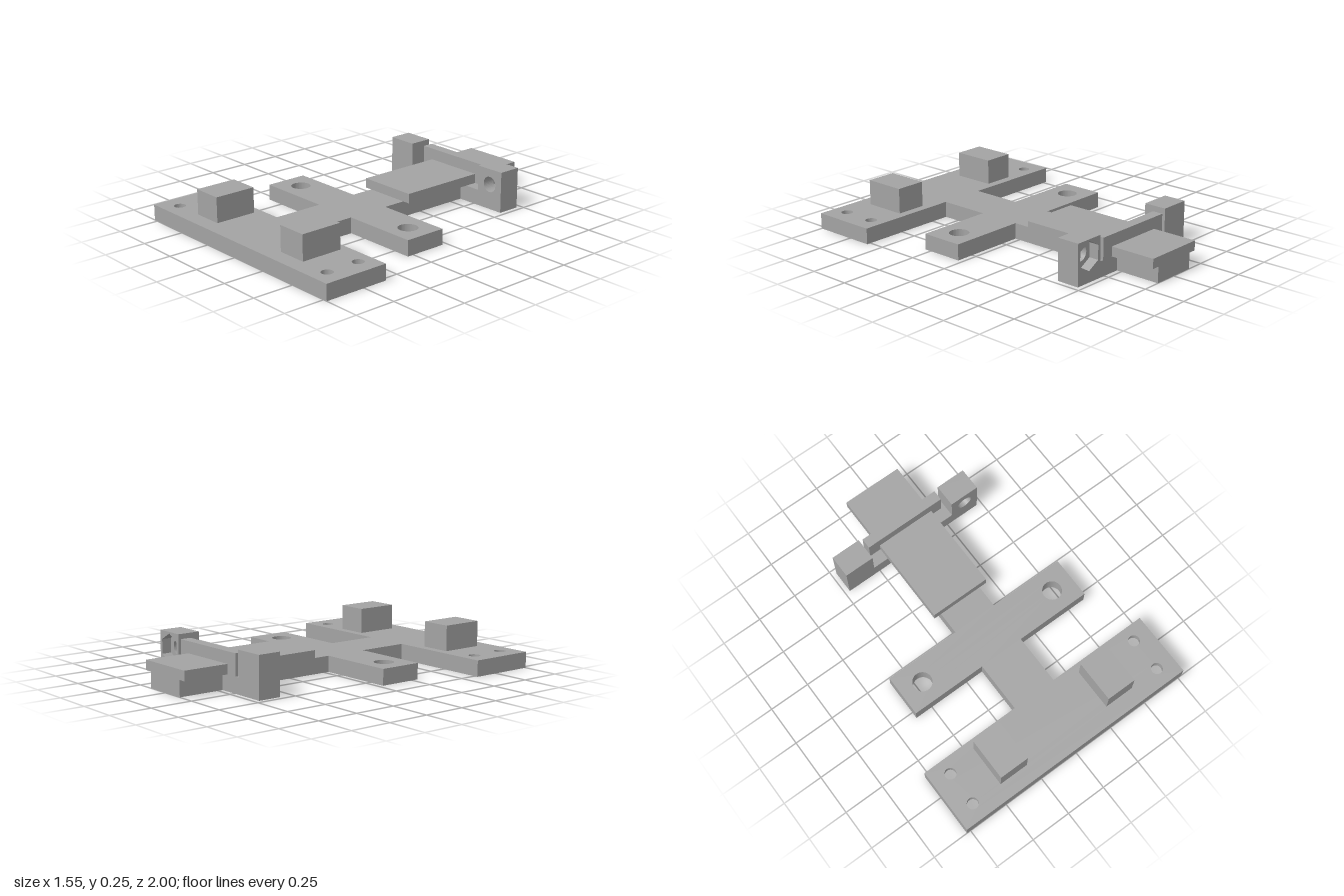
import * as THREE from 'three';

export function createModel() {
  const model = new THREE.Group();
  const grey = new THREE.MeshStandardMaterial({ color: 0xa3a3a3 });
  grey.name = 'plain grey';

  const add = (name, geometry) => {
    const mesh = new THREE.Mesh(geometry, grey);
    mesh.name = name;
    model.add(mesh);
  };

  // box given by its extents on each axis
  const box = (name, x0, x1, y0, y1, z0, z1) => {
    const g = new THREE.BoxGeometry(x1 - x0, y1 - y0, z1 - z0);
    g.translate((x0 + x1) / 2, (y0 + y1) / 2, (z0 + z1) / 2);
    add(name, g);
  };

  const polygonHole = (x, y, r, sides, turn = 0) => {
    const pts = [];
    for (let i = 0; i < sides; i++) {
      const a = turn + (i / sides) * Math.PI * 2;
      pts.push(new THREE.Vector2(x + r * Math.cos(a), y + r * Math.sin(a)));
    }
    return new THREE.Path(pts);
  };

  // base plate outline: front bar, cross arms, spine and rear bar (x, z)
  const half = [
    [0.775, 1], [0.775, 0.6], [0.14, 0.6], [0.14, 0.29], [0.61, 0.29], [0.61, 0.03],
    [0.14, 0.03], [0.14, -0.58], [0.285, -0.58], [0.285, -0.72], [0.14, -0.72], [0.14, -1],
  ];
  const outline = [...half, ...half.map(([x, z]) => [-x, z]).reverse()];
  const plateTop = 0.095;
  const recess = 0.05;

  const plateLayer = (name, y0, y1, screwRadius, screwSides) => {
    const shape = new THREE.Shape(outline.map(([x, z]) => new THREE.Vector2(x, z)));
    for (const s of [-1, 1]) {
      shape.holes.push(polygonHole(s * 0.47, 0.16, 0.058, 40));
      for (const z of [0.69, 0.9]) shape.holes.push(polygonHole(s * 0.66, z, screwRadius, screwSides));
    }
    const g = new THREE.ExtrudeGeometry(shape, { depth: y1 - y0, bevelEnabled: false });
    g.rotateX(Math.PI / 2);
    g.translate(0, y1, 0);
    add(name, g);
  };
  plateLayer('basePlateLower', 0, recess, 0.062, 6); // hexagonal nut pockets
  plateLayer('basePlateUpper', recess, plateTop, 0.034, 32); // round screw holes

  // front pegs
  for (const s of [-1, 1]) {
    const [x0, x1] = s > 0 ? [0.285, 0.47] : [-0.47, -0.285];
    box(s > 0 ? 'leftPeg' : 'rightPeg', x0, x1, plateTop, 0.247, 0.65, 0.905);
  }

  // raised pad on the spine, and the wall across it
  box('pad', -0.187, 0.187, plateTop, 0.153, -1, -0.11);
  box('crossWall', -0.26, 0.26, plateTop, 0.223, -0.72, -0.655);

  // solid rear block on the right
  box('rightRearBlock', -0.47, -0.285, 0, 0.247, -0.72, -0.58);

  // rear block on the left: round bore in front, nut pocket behind
  const boredBlock = (name, z0, z1, r, sides, turn) => {
    const shape = new THREE.Shape([[0.285, 0], [0.47, 0], [0.47, 0.247], [0.285, 0.247]]
      .map(([x, y]) => new THREE.Vector2(x, y)));
    shape.holes.push(polygonHole(0.378, 0.152, r, sides, turn));
    const g = new THREE.ExtrudeGeometry(shape, { depth: z1 - z0, bevelEnabled: false });
    g.translate(0, 0, z0);
    add(name, g);
  };
  boredBlock('leftRearBlockPocket', -0.72, -0.66, 0.086, 6, Math.PI / 2);
  boredBlock('leftRearBlockBore', -0.66, -0.58, 0.047, 36, 0);

  return model;
}
